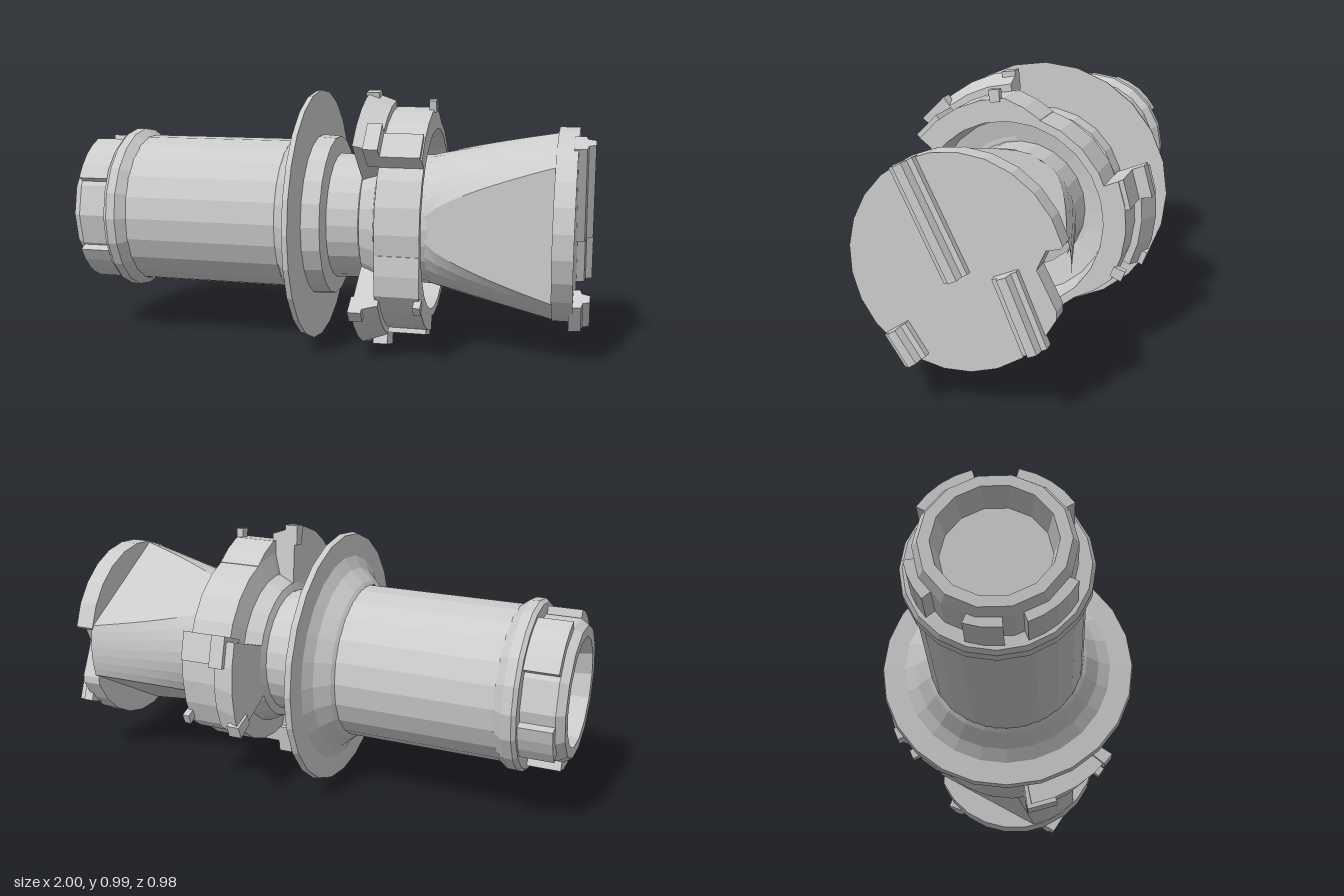
import * as THREE from 'three';

const CY = 0.505; // height of the main axis, which runs along x
const material = new THREE.MeshStandardMaterial({ color: 0xcccccc, flatShading: true });
const rad = THREE.MathUtils.degToRad;

function add(parent, name, geometry) {
  const mesh = new THREE.Mesh(geometry, material);
  mesh.name = name;
  parent.add(mesh);
  return mesh;
}

// Turned part: profile of [radius, x] pairs, spun about the x axis
function turned(profile, sides) {
  const points = profile.map(([r, x]) => new THREE.Vector2(r, x));
  return new THREE.LatheGeometry(points, sides).rotateZ(-Math.PI / 2);
}

// Point in the plane across the axis; 0 degrees is +z, 90 is up
function polar(deg, r) {
  return new THREE.Vector2(-Math.cos(rad(deg)) * r, Math.sin(rad(deg)) * r);
}

// Flat plate between two x positions
function plate(points, x0, x1) {
  return new THREE.ExtrudeGeometry(new THREE.Shape(points), { depth: x1 - x0, bevelEnabled: false })
    .rotateY(Math.PI / 2).translate(x0, 0, 0);
}

// Sector of a ring between two angles; the outer radius may change along it
function sector(a0, a1, rIn, rOut, x0, x1, rEnd = rOut) {
  const n = Math.max(1, Math.round((a1 - a0) / 12));
  const outer = [], inner = [];
  for (let i = 0; i <= n; i++) {
    const a = a0 + (a1 - a0) * i / n;
    outer.push(polar(a, rOut + (rEnd - rOut) * i / n));
    inner.unshift(polar(a, rIn));
  }
  return plate([...outer, ...inner], x0, x1);
}

// Flared head: a cone with three flat panels that widen towards the end
function headGeometry() {
  const stations = 10, steps = 7, ring = 3 * (steps + 1);
  const positions = [], index = [];
  for (let s = 0; s <= stations; s++) {
    const x = 0.4 + 0.47 * s / stations;
    const r = 0.25 + 0.112 * s / stations;
    const half = THREE.MathUtils.radToDeg(Math.acos(Math.min(1, (0.245 + 0.04 * (x - 0.4)) / r)));
    for (let c = 0; c < 360; c += 120)
      for (let k = 0; k <= steps; k++) {
        const a = rad(c + half + (120 - 2 * half) * k / steps);
        positions.push(x, r * Math.sin(a), r * Math.cos(a));
      }
  }
  for (let s = 0; s < stations; s++)
    for (let k = 0; k < ring; k++) {
      const a = s * ring + k, b = s * ring + (k + 1) % ring;
      index.push(a, a + ring, b, b, a + ring, b + ring);
    }
  const geometry = new THREE.BufferGeometry();
  geometry.setAttribute('position', new THREE.Float32BufferAttribute(positions, 3));
  geometry.setIndex(index);
  geometry.computeVertexNormals();
  return geometry;
}

// Round end plate with a notch in its back edge
function endPlateGeometry() {
  const points = [];
  for (let i = 0; i <= 22; i++) points.push(polar(-156 + 321 * i / 22, 0.366));
  points.push(new THREE.Vector2(0.345, 0.085), new THREE.Vector2(0.3, 0.075),
    new THREE.Vector2(0.27, 0.01), new THREE.Vector2(0.335, -0.12));
  return plate(points, 0.865, 0.94);
}

// Stepped rib on the end plate from one (z, y) point to another
function ribGeometry([z0, y0], [z1, y1]) {
  const outline = [[-0.045, 0], [-0.04, 0.045], [-0.02, 0.05], [-0.012, 0.075],
    [0.02, 0.075], [0.028, 0.045], [0.045, 0.04], [0.045, 0]];
  const shape = new THREE.Shape(outline.map(([a, b]) => new THREE.Vector2(a, b)));
  const along = new THREE.Vector3(0, y1 - y0, z1 - z0);
  const depth = along.length();
  along.normalize();
  const out = new THREE.Vector3(1, 0, 0);
  const basis = new THREE.Matrix4().makeBasis(out.clone().cross(along), out, along);
  basis.setPosition(0.925, y0 - CY, z0);
  return new THREE.ExtrudeGeometry(shape, { depth, bevelEnabled: false }).applyMatrix4(basis);
}

// Cam plate whose rim slopes down towards the band
function camGeometry() {
  const geometry = sector(40, 85, 0.25, 0.492, 0.16, 0.255);
  const p = geometry.attributes.position;
  for (let i = 0; i < p.count; i++) {
    const y = p.getY(i), z = p.getZ(i);
    if (p.getX(i) > 0.2 && Math.hypot(y, z) > 0.4) p.setXYZ(i, p.getX(i), y * 0.93, z * 0.93);
  }
  return geometry;
}

export function createModel() {
  const model = new THREE.Group();
  model.name = 'model';
  const body = new THREE.Group();
  body.name = 'body';
  body.position.y = CY;
  model.add(body);

  // Hollow tail and its collar
  add(body, 'tailSocket', turned([[0, -0.9], [0.185, -0.9], [0.205, -1], [0.245, -1],
    [0.265, -0.97], [0.265, -0.83]], 14));
  for (const [a0, a1] of [[30, 75], [105, 150], [190, 220], [250, 275], [290, 332]])
    add(body, 'tailLug', sector(a0, a1, 0.22, 0.295, -0.97, -0.83));
  add(body, 'tailCollar', turned([[0.26, -0.845], [0.31, -0.845], [0.322, -0.83], [0.322, -0.795],
    [0.295, -0.76]], 20));

  // Barrel, flared flange and neck
  add(body, 'barrel', turned([[0.295, -0.78], [0.295, -0.14]], 22));
  add(body, 'flange', turned([[0.295, -0.16], [0.31, -0.15], [0.355, -0.1], [0.4, -0.075],
    [0.485, -0.072], [0.49, -0.05], [0.31, -0.05]], 24));
  add(body, 'shoulder', turned([[0.315, -0.05], [0.31, 0.02], [0.24, 0.03]], 22));
  add(body, 'neck', turned([[0.245, 0.02], [0.24, 0.16], [0.25, 0.41]], 24));

  // Locking ring, open towards the head
  add(body, 'lockRing', turned([[0.24, 0.15], [0.27, 0.16], [0.3, 0.22], [0.38, 0.24], [0.38, 0.405],
    [0.35, 0.405], [0.335, 0.27], [0.24, 0.25]], 24));

  // Three locking lugs set evenly round the ring
  for (let i = 0; i < 3; i++) {
    const lug = new THREE.Group();
    lug.name = 'lockLug';
    lug.rotation.x = rad(120 * i);
    body.add(lug);
    add(lug, 'lugBand', sector(38, 88, 0.35, 0.432, 0.24, 0.405));
    add(lug, 'lugRamp', sector(88, 108, 0.35, 0.432, 0.24, 0.405, 0.38));
    add(lug, 'lugCam', camGeometry());
    add(lug, 'lugBlock', sector(38, 52, 0.38, 0.45, 0.25, 0.4));
    add(lug, 'lugToe', sector(38, 52, 0.38, 0.497, 0.2, 0.255));
    add(lug, 'lugHook', sector(81, 86, 0.42, 0.465, 0.385, 0.412));
    add(lug, 'lugStop', sector(79, 85, 0.42, 0.497, 0.15, 0.2));
  }

  // Head, end plate and ribs
  add(body, 'head', headGeometry());
  add(body, 'endPlate', endPlateGeometry());
  const ribs = [[[0.165, 0.83], [-0.01, 0.465]], [[-0.17, 0.495], [-0.27, 0.25]],
    [[0.205, 0.27], [0.135, 0.163]]];
  for (const [from, to] of ribs) add(body, 'endRib', ribGeometry(from, to));

  return model;
}
